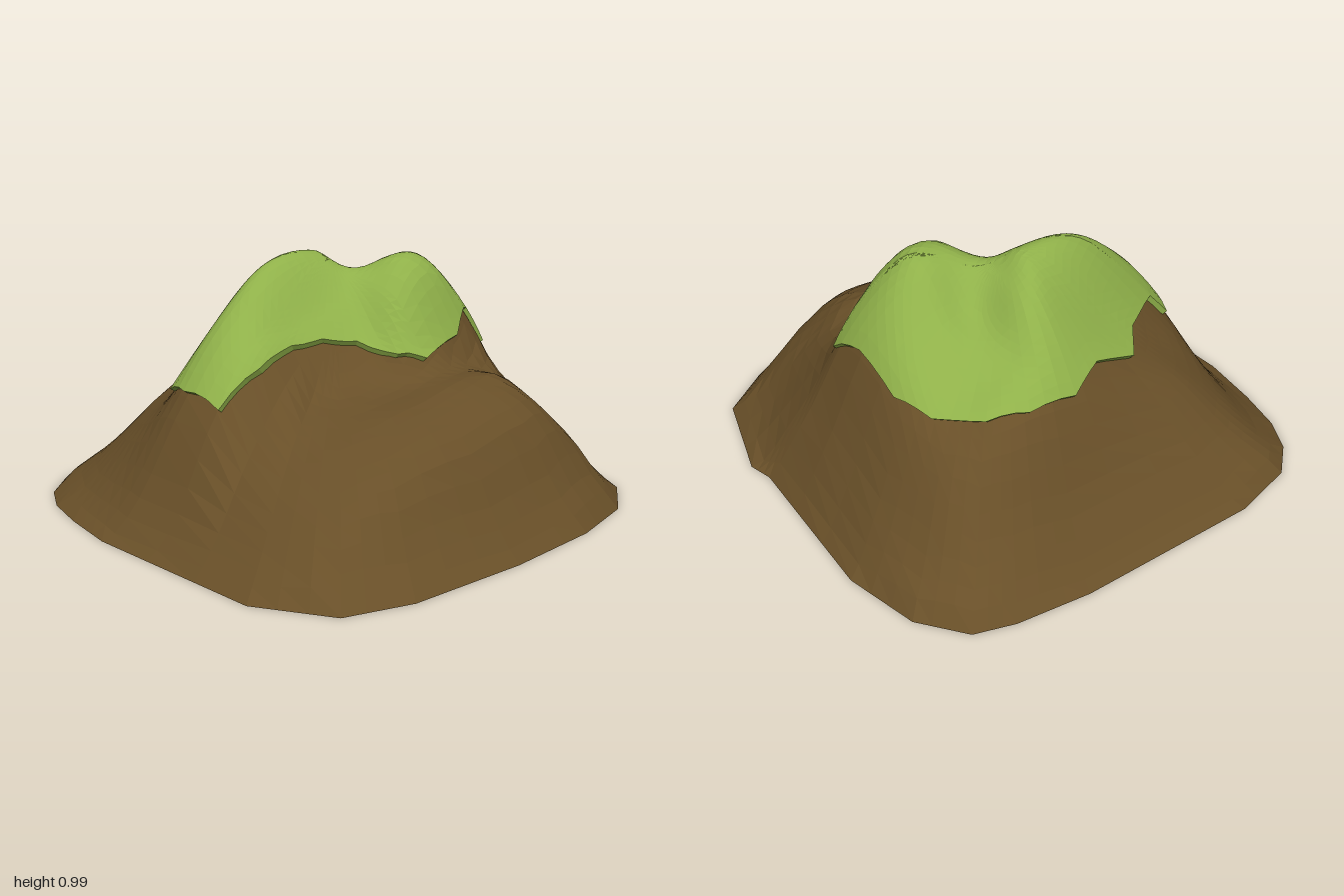
import * as THREE from 'three';

// Terrain cross-sections: one row of heights per depth
const XS = [-1, -0.85, -0.65, -0.45, -0.2, 0.05, 0.15, 0.27, 0.43, 0.62, 0.82, 1];
const ZS = [-1, -0.8, -0.6, -0.4, -0.2, 0, 0.15, 0.3, 0.5, 0.7, 0.85, 1];
const ROWS = [
  [0, 0, 0, 0, 0, 0, 0, 0, 0, 0, 0, 0],
  [0, 0.02, 0.12, 0.17, 0.2, 0.2, 0.2, 0.2, 0.2, 0.15, 0.05, 0],
  [0, 0.06, 0.24, 0.38, 0.47, 0.55, 0.57, 0.56, 0.51, 0.38, 0.13, 0],
  [0, 0.1, 0.35, 0.5, 0.66, 0.8, 0.81, 0.69, 0.6, 0.5, 0.2, 0],
  [0, 0.13, 0.47, 0.72, 0.92, 0.945, 0.87, 0.76, 0.74, 0.61, 0.23, 0],
  [0, 0.11, 0.45, 0.64, 0.69, 0.78, 0.86, 0.92, 0.9, 0.67, 0.26, 0],
  [0, 0.1, 0.33, 0.46, 0.52, 0.62, 0.77, 0.87, 0.84, 0.64, 0.26, 0],
  [0, 0.09, 0.28, 0.4, 0.47, 0.51, 0.55, 0.57, 0.55, 0.48, 0.22, 0],
  [0, 0.08, 0.24, 0.36, 0.44, 0.49, 0.51, 0.525, 0.515, 0.37, 0.13, 0],
  [0, 0.04, 0.18, 0.28, 0.35, 0.385, 0.4, 0.41, 0.39, 0.27, 0.07, 0],
  [0, 0.01, 0.05, 0.1, 0.13, 0.14, 0.14, 0.14, 0.13, 0.08, 0.01, 0],
  [0, 0, 0, 0, 0, 0, 0, 0, 0, 0, 0, 0],
];

// Outlines seen from above, as [x, z]
const BASE = [[-0.47, -0.98], [0.3, -0.985], [0.6, -0.95], [0.76, -0.9], [0.9, -0.73],
  [0.98, -0.43], [0.97, 0.25], [1, 0.35], [0.9, 0.74], [0.7, 0.89], [0.4, 0.96],
  [-0.02, 0.98], [-0.52, 0.95], [-0.78, 0.86], [-0.95, 0.58], [-1, -0.22],
  [-0.97, -0.47], [-0.93, -0.66], [-0.86, -0.8], [-0.74, -0.91]];
const GRASS = [[-0.61, -0.3], [-0.52, -0.29], [-0.33, -0.41], [-0.25, -0.52], [-0.05, -0.54],
  [0.1, -0.61], [0.3, -0.6], [0.45, -0.54], [0.59, -0.4], [0.65, -0.24], [0.65, 0],
  [0.67, 0.18], [0.58, 0.16], [0.42, 0.26], [0.2, 0.3], [0.1, 0.24], [0, 0.11],
  [-0.13, 0.05], [-0.27, 0.03], [-0.45, 0.05], [-0.63, 0.03], [-0.64, -0.17]];

// Smooth interpolation through unevenly spaced values, level at both ends
function hermite(ks, vs, k) {
  const n = ks.length;
  let i = 0;
  while (i < n - 2 && k > ks[i + 1]) i++;
  const slope = (j) => (j === 0 || j === n - 1 ? 0 : (vs[j + 1] - vs[j - 1]) / (ks[j + 1] - ks[j - 1]));
  const d = ks[i + 1] - ks[i], t = THREE.MathUtils.clamp((k - ks[i]) / d, 0, 1);
  const t2 = t * t, t3 = t2 * t;
  return vs[i] * (2 * t3 - 3 * t2 + 1) + slope(i) * d * (t3 - 2 * t2 + t)
    + vs[i + 1] * (3 * t2 - 2 * t3) + slope(i + 1) * d * (t3 - t2);
}

const height = (x, z) => Math.max(0, hermite(ZS, ROWS.map((r) => hermite(XS, r, x)), z));

// Split every outline edge into equal pieces
const subdivide = (pts, n) => pts.flatMap(([x, z], i) => {
  const [u, v] = pts[(i + 1) % pts.length];
  return Array.from({ length: n }, (_, k) => [x + (u - x) * k / n, z + (v - z) * k / n]);
});

// Closed loops joined from the middle outwards
function loft(loops) {
  const n = loops[0].length, index = [];
  for (let r = 0; r < loops.length - 1; r++) {
    for (let i = 0; i < n; i++) {
      const j = (i + 1) % n;
      const a = r * n + i, b = r * n + j, c = a + n, d = b + n;
      index.push(b, d, c);
      if (r > 0) index.push(a, b, c);
    }
  }
  const geo = new THREE.BufferGeometry();
  geo.setAttribute('position', new THREE.Float32BufferAttribute(loops.flat(2), 3));
  geo.setIndex(index);
  geo.computeVertexNormals();
  return geo;
}

// Rings shrinking from an outline towards a centre, draped over the terrain
function drape(outline, [cx, cz], rings, lift) {
  return Array.from({ length: rings + 1 }, (_, r) => outline.map(([x, z]) => {
    const t = r / rings, px = cx + (x - cx) * t, pz = cz + (z - cz) * t;
    return [px, height(px, pz) + lift, pz];
  }));
}

export function createModel() {
  const group = new THREE.Group();
  const earth = new THREE.MeshStandardMaterial({ color: 0x684f28, flatShading: true, side: THREE.DoubleSide });
  earth.name = 'earthBrown';
  const green = new THREE.MeshStandardMaterial({ color: 0x8fb049, flatShading: true, side: THREE.DoubleSide });
  green.name = 'grassGreen';
  const add = (name, geo, mat) => {
    const mesh = new THREE.Mesh(geo, mat);
    mesh.name = name;
    group.add(mesh);
  };

  // Hill slopes, flat at the foot
  const slopes = drape(subdivide(BASE, 3), [0.05, -0.05], 20, 0);
  slopes[slopes.length - 1].forEach((p) => { p[1] = 0; });
  add('hillSlopes', loft(slopes), earth);

  // Underside: three fans around an open triangle
  const under = [];
  for (const [from, to] of [[7, 11], [11, 15], [15, 27]]) {
    for (let i = from + 1; i < to; i++) {
      for (const k of [from, i, i + 1]) under.push(BASE[k % 20][0], 0, BASE[k % 20][1]);
    }
  }
  const underside = new THREE.BufferGeometry();
  underside.setAttribute('position', new THREE.Float32BufferAttribute(under, 3));
  underside.computeVertexNormals();
  add('hillUnderside', underside, earth);

  // Grass cap with a ragged rim tucked in under its edge
  const centre = [0.1, -0.15];
  const edge = subdivide(GRASS, 3);
  const cap = drape(edge, centre, 16, 0.035);
  cap.push(edge.map(([x, z]) => {
    const px = centre[0] + (x - centre[0]) * 0.95, pz = centre[1] + (z - centre[1]) * 0.95;
    return [px, height(x, z) + 0.012, pz];
  }));
  add('grassCap', loft(cap), green);
  return group;
}
